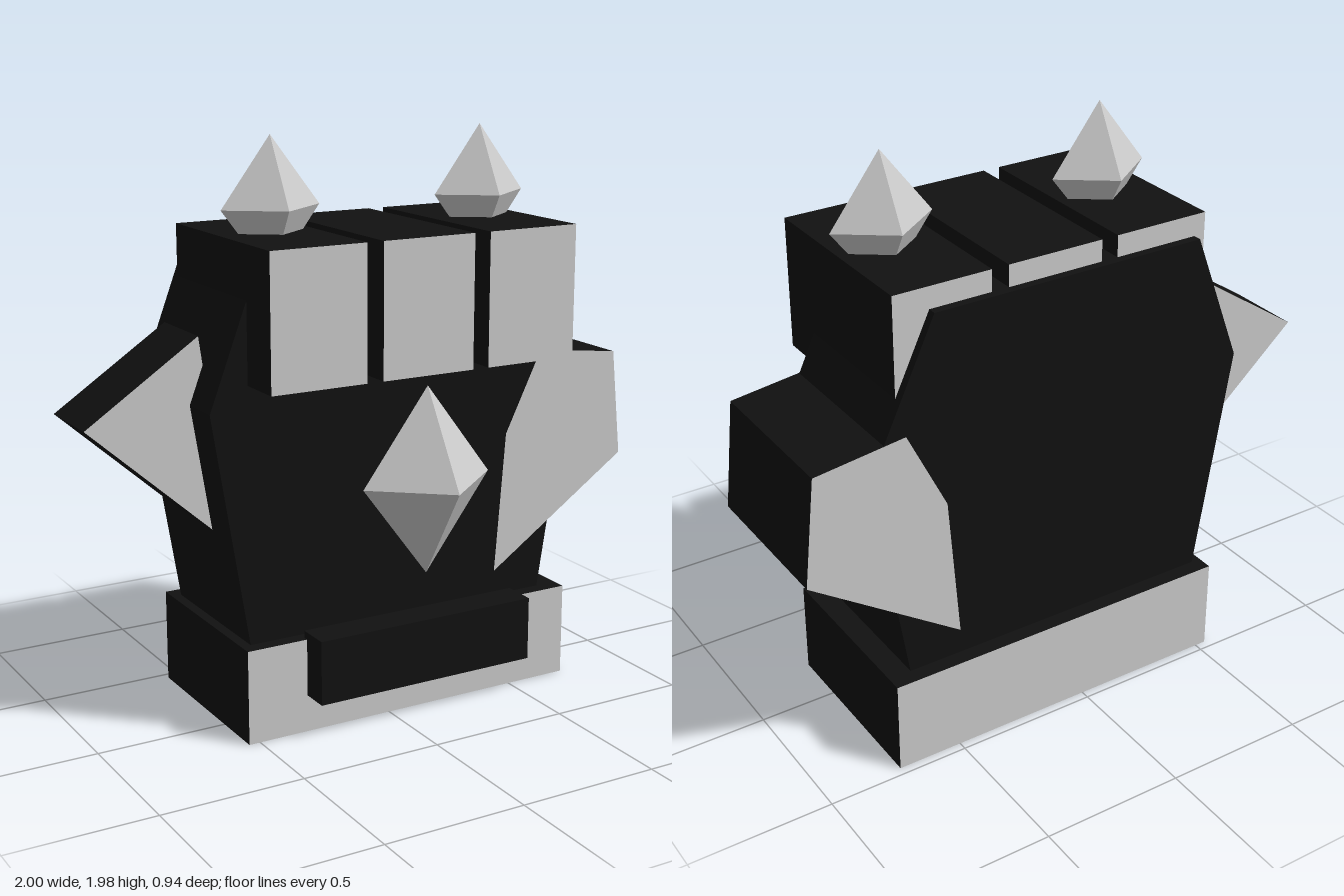
import * as THREE from 'three';

const grey = new THREE.MeshStandardMaterial({ color: 0xcccccc, flatShading: true });
const black = new THREE.MeshStandardMaterial({ color: 0x111111, flatShading: true });

// Outline in x/y extruded from z0 to z1; caps and rim take separate materials
function slab(name, points, z0, z1, cap = grey, rim = black) {
  const shape = new THREE.Shape(points.map(([x, y]) => new THREE.Vector2(x, y)));
  const geometry = new THREE.ExtrudeGeometry(shape, { depth: z1 - z0, bevelEnabled: false });
  geometry.translate(0, 0, z0);
  const mesh = new THREE.Mesh(geometry, [cap, rim]);
  mesh.name = name;
  return mesh;
}

const rect = (x0, y0, x1, y1) => [[x0, y0], [x1, y0], [x1, y1], [x0, y1]];

// Eight-sided crystal with half sizes along each axis
function crystal(name, position, halfSize) {
  const mesh = new THREE.Mesh(new THREE.OctahedronGeometry(1).scale(...halfSize), grey);
  mesh.position.set(...position);
  mesh.name = name;
  return mesh;
}

export function createModel() {
  const group = new THREE.Group();
  group.name = 'gauntlet';

  // Wrist cuff with its raised front plate
  group.add(slab('cuff', rect(-0.54, 0, 0.73, 0.33), -0.47, 0.19));
  group.add(slab('cuffPlate', rect(-0.32, 0.13, 0.51, 0.355), 0.17, 0.29, black));

  // Palm
  const palm = [[-0.5, 0.3], [0.645, 0.3], [0.77, 1.08], [0.53, 1.59], [-0.46, 1.59], [-0.635, 1.13]];
  group.add(slab('palm', palm, -0.415, 0.14, black));

  // Thumb, a hair proud of the palm on both faces
  const thumb = [[0.46, 0.42], [1.0, 0.785], [0.96, 1.165], [0.64, 1.205], [0.5, 0.92]];
  group.add(slab('thumb', thumb, -0.418, 0.143));

  // Side spur
  group.add(slab('sideSpur', [[-1.0, 1.09], [-0.5, 0.64], [-0.6, 1.355]], -0.275, -0.01));

  // Row of knuckle blocks
  for (let i = 0; i < 3; i++) {
    const x = -0.5 + i * 0.405;
    group.add(slab('knuckle' + (i + 1), rect(x, 1.21, x + 0.345, 1.665), -0.385, 0.305));
  }

  // Crystal spikes on the outer knuckles, and the gem on the palm
  for (const [side, x] of [['right', -0.31], ['left', 0.5]]) {
    group.add(crystal(side + 'Spike', [x, 1.745, -0.055], [0.18, 0.235, 0.13]));
  }
  group.add(crystal('palmGem', [0.095, 0.843, 0.27], [0.245, 0.325, 0.2]));

  return group;
}
